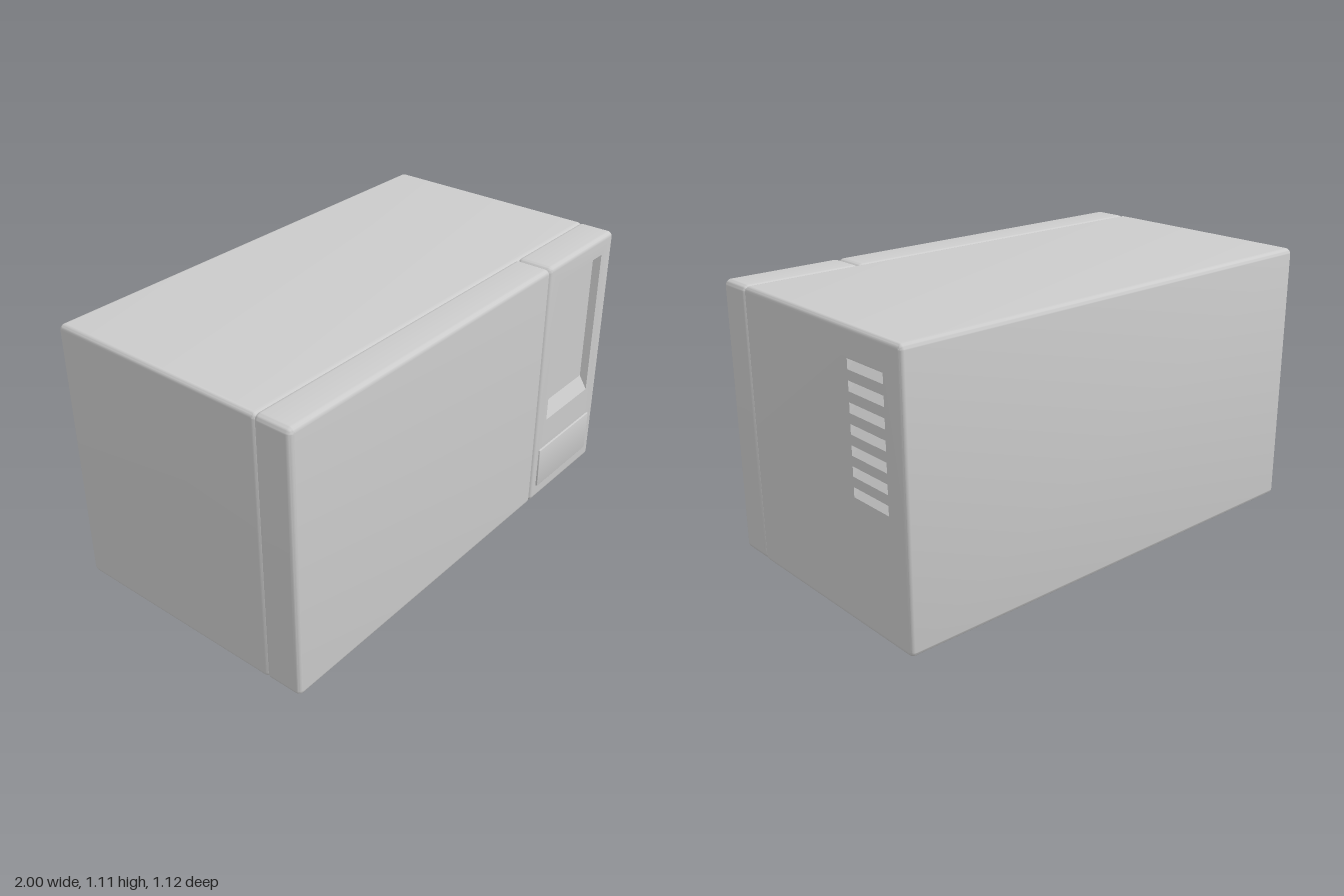
import * as THREE from 'three';
import { toCreasedNormals, mergeGeometries } from 'three/addons/utils/BufferGeometryUtils.js';

const material = new THREE.MeshStandardMaterial({ color: 0xcccccc });

function roundedRect(u0, u1, v0, v1, r) {
  const s = new THREE.Shape();
  s.absarc(u1 - r, v0 + r, r, -Math.PI / 2, 0);
  s.absarc(u1 - r, v1 - r, r, 0, Math.PI / 2);
  s.absarc(u0 + r, v1 - r, r, Math.PI / 2, Math.PI);
  s.absarc(u0 + r, v0 + r, r, Math.PI, Math.PI * 1.5);
  s.closePath();
  return s;
}

// Sunken pocket: outer rectangle on the face, smaller floor rectangle behind it
function pocketGeometry({ outer, floor, depth }, z) {
  const ring = ([u0, u1, v0, v1], d) => [[u0, v0, d], [u1, v0, d], [u1, v1, d], [u0, v1, d]];
  const o = ring(outer, z), f = ring(floor, z - depth), pos = [];
  const quad = (a, b, c, d) => pos.push(...a, ...b, ...c, ...a, ...c, ...d);
  for (let i = 0; i < 4; i++) {
    const j = (i + 1) % 4;
    quad(o[i], o[j], f[j], f[i]);
  }
  quad(...f);
  const g = new THREE.BufferGeometry();
  g.setAttribute('position', new THREE.Float32BufferAttribute(pos, 3));
  g.computeVertexNormals();
  return g;
}

// Block with rounded edges along z, whose front face may hold pockets
function blockGeometry(u0, u1, v0, v1, z0, z1, bevel, pockets = []) {
  const shape = roundedRect(u0 + bevel, u1 - bevel, v0 + bevel, v1 - bevel, bevel * 0.25);
  const shell = new THREE.ExtrudeGeometry(shape, {
    depth: z1 - z0 - 2 * bevel, bevelSize: bevel, bevelThickness: bevel,
    bevelSegments: 5, curveSegments: 5,
  });
  shell.translate(0, 0, z0 + bevel);

  // Drop the front cap so that a face with openings can replace it
  const p = shell.attributes.position, kept = [];
  for (let i = 0; i < p.count; i += 3) {
    if ([0, 1, 2].every((k) => p.getZ(i + k) > z1 - 1e-5)) continue;
    for (let k = 0; k < 3; k++) kept.push(p.getX(i + k), p.getY(i + k), p.getZ(i + k));
  }
  const open = new THREE.BufferGeometry();
  open.setAttribute('position', new THREE.Float32BufferAttribute(kept, 3));

  for (const { outer: [a, b, c, d] } of pockets) {
    shape.holes.push(new THREE.Path([
      new THREE.Vector2(a, c), new THREE.Vector2(a, d), new THREE.Vector2(b, d), new THREE.Vector2(b, c),
    ]));
  }
  const face = new THREE.ShapeGeometry(shape, 5).toNonIndexed();
  face.deleteAttribute('uv');
  face.deleteAttribute('normal');
  face.translate(0, 0, z1);
  return toCreasedNormals(mergeGeometries([open, face]), 0.6);
}

function addMesh(parent, name, geometry) {
  const mesh = new THREE.Mesh(geometry, material);
  mesh.name = name;
  parent.add(mesh);
  return mesh;
}

export function createModel() {
  const model = new THREE.Group();
  model.name = 'microwaveOven';
  const top = 1.11, edge = 0.02;

  // Cabinet, drawn along x: local u runs towards the back, local z becomes +x
  const cabinet = new THREE.Group();
  cabinet.name = 'cabinet';
  cabinet.rotation.y = Math.PI / 2;
  model.add(cabinet);

  // Louvres on one side only, deep at the top and sloping out at the bottom
  const vents = [];
  for (let i = 0; i < 7; i++) {
    const v = 0.995 - i * 0.0765;
    vents.push({ outer: [0.255, 0.455, v - 0.038, v], floor: [0.26, 0.45, v - 0.012, v - 0.002], depth: 0.025 });
  }
  addMesh(cabinet, 'cabinetShell', blockGeometry(-0.407, 0.557, 0, top, -1, 1, edge, vents));
  vents.forEach((vent, i) => addMesh(cabinet, `vent${i + 1}`, pocketGeometry(vent, 1)));

  // Front band: the door and the control panel meet in a fine groove
  addMesh(model, 'door', blockGeometry(-1, 0.503, 0, top, 0.393, 0.55, edge));
  const recess = { outer: [0.58, 0.912, 0.385, 1.03], floor: [0.592, 0.9, 0.45, 1.02], depth: 0.03 };
  addMesh(model, 'controlPanel', blockGeometry(0.497, 1, 0, top, 0.393, 0.55, edge, [recess]));
  addMesh(model, 'controlRecess', pocketGeometry(recess, 0.55));

  // Raised door release button
  addMesh(model, 'doorButton', blockGeometry(0.54, 0.947, 0.065, 0.25, 0.53, 0.558, 0.004));

  return model;
}
